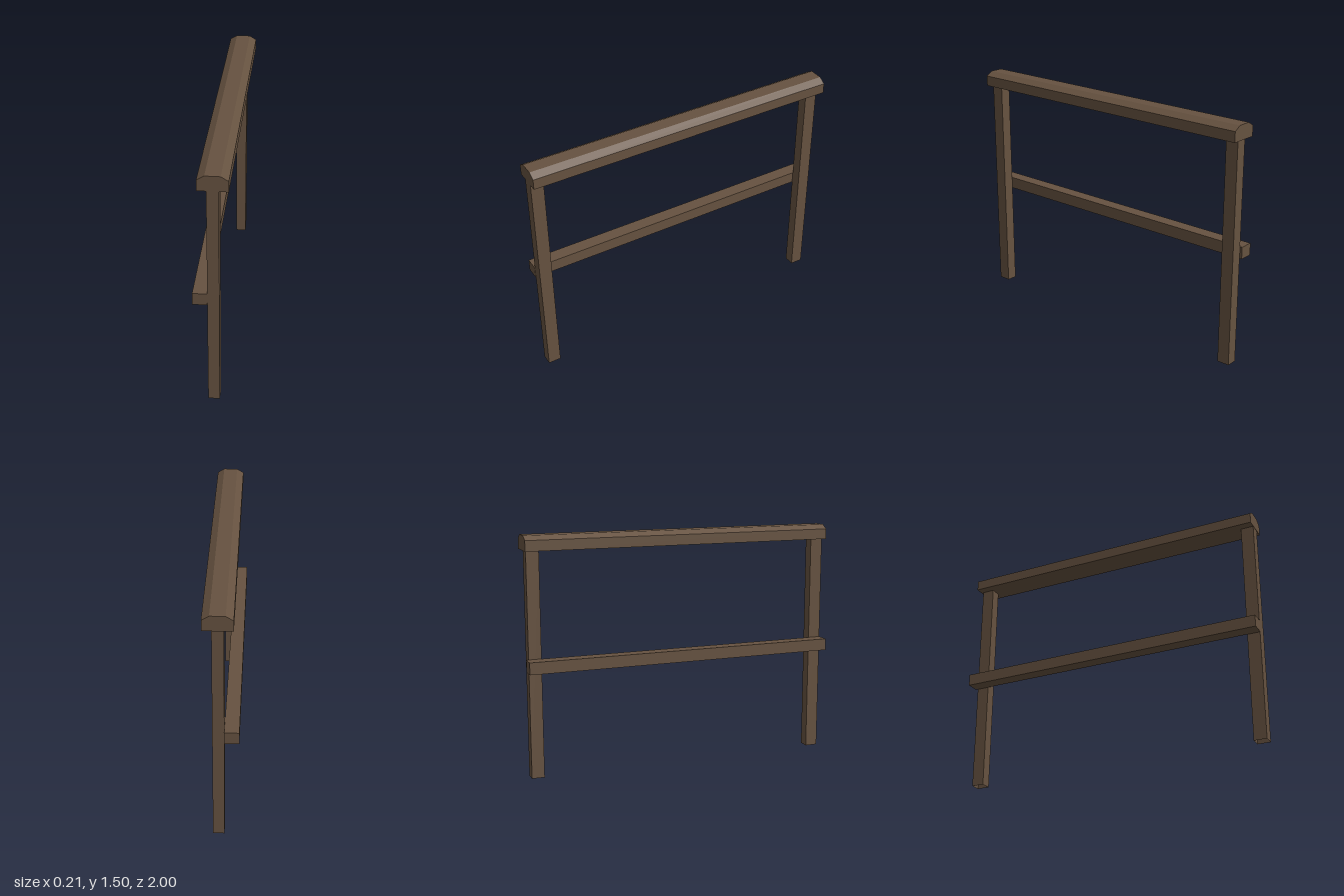
import * as THREE from 'three';

export function createModel() {
  const wood = new THREE.MeshStandardMaterial({ color: 0x665240, side: THREE.DoubleSide });
  wood.name = 'brown wood';
  const model = new THREE.Group();
  model.name = 'railing';

  const add = (name, geometry) => {
    const mesh = new THREE.Mesh(geometry, wood);
    mesh.name = name;
    model.add(mesh);
  };

  // Box given by its two opposite corners
  const box = (x0, y0, z0, x1, y1, z1) =>
    new THREE.BoxGeometry(x1 - x0, y1 - y0, z1 - z0)
      .translate((x0 + x1) / 2, (y0 + y1) / 2, (z0 + z1) / 2);

  // Posts: four walls, open at the foot and under the handrail
  const posts = { frontPost: [0.918, 0.998], backPost: [-0.985, -0.905] };
  for (const [name, [z0, z1]] of Object.entries(posts)) {
    const post = box(-0.02, 0, z0, 0.048, 1.41, z1);
    const index = Array.from(post.index.array);
    index.splice(12, 12); // drop the top and bottom faces
    post.setIndex(index);
    post.clearGroups();
    add(name, post);
  }

  // Lower rail, fixed to the right side of the posts
  add('lowerRail', box(-0.105, 0.675, -1, -0.02, 0.75, 1));

  // Handrail with chamfered top edges
  const profile = new THREE.Shape([
    [-0.072, 1.409], [0.101, 1.409], [0.101, 1.474],
    [0.058, 1.5], [-0.029, 1.5], [-0.072, 1.474],
  ].map(([x, y]) => new THREE.Vector2(x, y)));
  add('handrail', new THREE.ExtrudeGeometry(profile, { depth: 2, bevelEnabled: false }).translate(0, 0, -1));

  return model;
}
